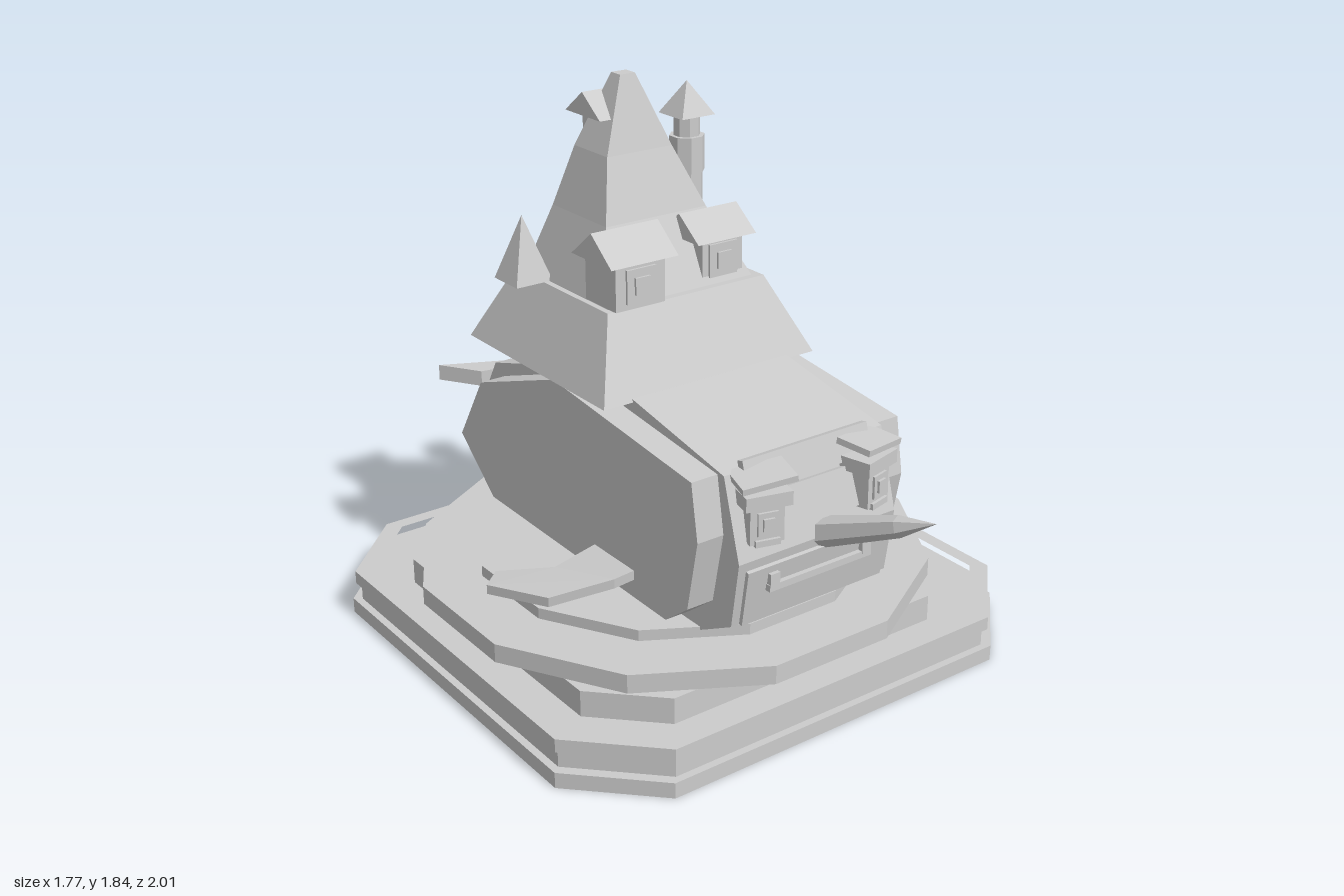
import * as THREE from 'three';

const stone = new THREE.MeshStandardMaterial({ color: 0xcccccc });
stone.name = 'pale grey stone';

// Faceted mesh
function add(parent, name, geometry, x = 0, y = 0, z = 0) {
  const g = geometry.index ? geometry.toNonIndexed() : geometry;
  g.computeVertexNormals();
  const mesh = new THREE.Mesh(g, stone);
  mesh.name = name;
  mesh.position.set(x, y, z);
  parent.add(mesh);
  return mesh;
}
const box = (w, h, d) => new THREE.BoxGeometry(w, h, d);

// Outline in (x, z), raised from y0 to y1, with an optional hole
function plan(points, y0, y1, hole) {
  const flip = ps => ps.map(([x, z]) => new THREE.Vector2(x, -z));
  const shape = new THREE.Shape(flip(points));
  if (hole) shape.holes.push(new THREE.Path(flip(hole)));
  return new THREE.ExtrudeGeometry(shape, { depth: y1 - y0, bevelEnabled: false })
    .rotateX(-Math.PI / 2).translate(0, y0, 0);
}
// Outline in (z, y), spread across x by the given width
function profile(points, width) {
  const shape = new THREE.Shape(points.map(([z, y]) => new THREE.Vector2(z, y)));
  return new THREE.ExtrudeGeometry(shape, { depth: width, bevelEnabled: false })
    .translate(0, 0, -width / 2).rotateY(-Math.PI / 2);
}
const octagon = (h, c) => [[h, h - c], [h - c, h], [c - h, h], [-h, h - c],
  [-h, c - h], [c - h, -h], [h - c, -h], [h, c - h]];
const dodecagon = h => Array.from({ length: 12 }, (_, i) => {
  const a = (i + 0.5) * Math.PI / 6, r = h / Math.cos(Math.PI / 12);
  return [r * Math.cos(a), r * Math.sin(a)];
});
const pyramid = (hw, h) => new THREE.ConeGeometry(hw * Math.SQRT2, h, 4, 1).rotateY(Math.PI / 4).translate(0, h / 2, 0);

// Closed stack of rectangles [y, x0, x1, z0, z1]
function loft(levels) {
  const rings = levels.map(([y, x0, x1, z0, z1]) => [[x0, y, z1], [x1, y, z1], [x1, y, z0], [x0, y, z0]]);
  const pos = [];
  const quad = (a, b, c, d) => [a, b, c, a, c, d].forEach(p => pos.push(...p));
  for (let k = 0; k + 1 < rings.length; k++) {
    for (let i = 0; i < 4; i++) {
      const j = (i + 1) % 4;
      quad(rings[k][i], rings[k][j], rings[k + 1][j], rings[k + 1][i]);
    }
  }
  quad(...[...rings[0]].reverse());
  quad(...rings[rings.length - 1]);
  const g = new THREE.BufferGeometry();
  g.setAttribute('position', new THREE.Float32BufferAttribute(pos, 3));
  return g;
}

// Small gabled house with its ridge along x
function dormer(name, x, y, z, w, h, d, roofW, roofD, roofH) {
  const g = new THREE.Group();
  g.name = name;
  g.position.set(x, y, z);
  add(g, 'dormerWalls', box(w, h, d), 0, h / 2, 0);
  add(g, 'dormerRoof', profile([[roofD / 2, h], [0, h + roofH], [-roofD / 2, h]], roofW));
  return g;
}
function addWindow(g, h, d) {
  add(g, 'windowFrame', box(0.11, 0.11, 0.008), 0, h / 2, d / 2 + 0.004);
  add(g, 'windowPane', box(0.055, 0.055, 0.008), 0, h / 2, d / 2 + 0.012);
}

function buildBase() {
  const g = new THREE.Group();
  g.name = 'pedestal';
  g.position.z = -0.115;
  add(g, 'footSlab', plan(octagon(0.885, 0.25), 0, 0.052));
  add(g, 'middleSlab', plan(octagon(0.86, 0.245), 0.052, 0.112));
  add(g, 'slabRim', plan(octagon(0.875, 0.25), 0.112, 0.157, octagon(0.825, 0.235)));
  add(g, 'neck', plan(octagon(0.712, 0.2), 0.112, 0.2));
  add(g, 'upperDisc', plan(dodecagon(0.83), 0.2, 0.263));
  add(g, 'topDisc', plan(dodecagon(0.64), 0.263, 0.285));
  add(g, 'topRim', plan(dodecagon(0.64), 0.285, 0.3, dodecagon(0.55)));
  return g;
}

function buildBody() {
  const g = new THREE.Group();
  g.name = 'body';
  add(g, 'centreBody', profile([[0.6, 0.37], [0.635, 0.59], [0.56, 0.85], [0.1, 0.935], [-0.25, 0.93],
    [-0.72, 0.79], [-0.885, 0.51], [-0.66, 0.315], [-0.5, 0.29], [0.45, 0.29]], 0.61));
  add(g, 'sideBody', profile([[0.4, 0.335], [0.51, 0.42], [0.56, 0.66], [0.53, 0.845], [-0.2, 0.923],
    [-0.66, 0.76], [-0.81, 0.52], [-0.61, 0.35]], 0.8));

  // Flippers slope down and sweep back
  for (const s of [1, -1]) {
    let pts = [[0.38, 0.02], [0.38, 0.24], [0.46, 0.215], [0.635, 0.11], [0.73, -0.1], [0.67, -0.145], [0.54, 0]];
    pts = pts.map(([x, z]) => [x * s, z]);
    const flipper = plan(pts, 0, 0.032);
    const p = flipper.attributes.position;
    for (let i = 0; i < p.count; i++) {
      const x = Math.abs(p.getX(i));
      p.setY(i, p.getY(i) + (x < 0.64 ? 0.405 - (x - 0.38) * 0.31 : 0.325 - (x - 0.64) * 0.17));
    }
    add(g, s > 0 ? 'leftFlipper' : 'rightFlipper', flipper);
  }

  // Tail stalk and crescent fin
  const stalk = add(g, 'tailStalk', new THREE.CylinderGeometry(0.078, 0.035, 0.29, 8), 0, 0.585, -0.89);
  stalk.rotation.x = -0.28;
  add(g, 'tailFin', plan([[-0.39, -0.97], [-0.3, -0.83], [0, -0.78], [0.3, -0.83], [0.39, -0.97],
    [0.16, -0.86], [-0.16, -0.86]], 0.665, 0.72));
  add(g, 'tailTip', new THREE.ConeGeometry(0.08, 0.03, 8), 0, 0.73, -0.89);
  return g;
}

function buildFace() {
  const g = new THREE.Group();
  g.name = 'face';
  // Muzzle, mouth and brow panels follow the sloping front
  const muzzle = add(g, 'muzzlePlate', box(0.55, 0.19, 0.025), 0, 0.465, 0.616);
  muzzle.rotation.x = 0.157;
  add(g, 'mouthBar', box(0.4, 0.022, 0.025), 0, 0.485, 0.638);
  for (const s of [1, -1]) add(g, 'mouthCorner', box(0.035, 0.045, 0.025), s * 0.18, 0.51, 0.64);
  const brow = add(g, 'browPanel', box(0.48, 0.13, 0.03), 0, 0.71, 0.605);
  brow.rotation.x = -0.28;
  const forehead = add(g, 'foreheadPanel', box(0.48, 0.1, 0.025), 0, 0.83, 0.565);
  forehead.rotation.x = -0.28;

  // Eyes are little lantern houses under tilted brows
  for (const s of [1, -1]) {
    const eye = new THREE.Group();
    eye.name = s > 0 ? 'leftEye' : 'rightEye';
    eye.position.set(s * 0.205, 0.64, 0.61);
    eye.rotation.y = -s * -0.25;
    add(eye, 'eyeBox', box(0.11, 0.13, 0.09), 0, 0.07, 0);
    add(eye, 'eyeLid', box(0.15, 0.045, 0.12), 0, 0.145, 0);
    add(eye, 'eyeSill', box(0.08, 0.02, 0.11), 0, 0.01, 0);
    add(eye, 'pupilFrame', box(0.065, 0.075, 0.008), 0, 0.07, 0.049);
    add(eye, 'pupil', box(0.035, 0.04, 0.008), 0, 0.07, 0.057);
    const lash = add(eye, 'eyebrow', box(0.175, 0.02, 0.12), 0, 0.205, 0.005);
    lash.rotation.set(0.1, 0, -s * 0.1);
    g.add(eye);
  }

  // Long pointed nose
  const from = new THREE.Vector3(0.015, 0.575, 0.57), dir = new THREE.Vector3(0.125, 0.745, 1).sub(from);
  const len = dir.length();
  const nose = add(g, 'nose', new THREE.LatheGeometry([[0, 0], [0.052, 0], [0.034, len * 0.72], [0, len]]
    .map(([r, y]) => new THREE.Vector2(r, y)), 6), ...from.toArray());
  nose.quaternion.setFromUnitVectors(new THREE.Vector3(0, 1, 0), dir.normalize());
  return g;
}

function buildRoof() {
  const g = new THREE.Group();
  g.name = 'roof';
  add(g, 'skirtRoof', loft([[0.925, -0.412, 0.412, -0.692, 0.105], [1.175, -0.305, 0.305, -0.565, -0.025]]));
  add(g, 'mainSpire', loft([[1.175, -0.285, 0.275, -0.535, -0.05], [1.4, -0.215, 0.172, -0.465, -0.16],
    [1.6, -0.162, 0.085, -0.41, -0.225], [1.835, -0.068, -0.012, -0.335, -0.285]]));
  for (const z of [-0.435, -0.58]) add(g, 'eaveBlock', box(0.5, 0.04, 0.09), 0, 0.935, z);
  add(g, 'rightSpirelet', pyramid(0.068, 0.215), -0.34, 1.175, -0.455);
  add(g, 'leftSpirelet', pyramid(0.068, 0.215), 0.34, 1.175, -0.568);

  // Dormers
  const a = dormer('rightDormer', -0.197, 1.18, -0.085, 0.185, 0.15, 0.165, 0.25, 0.22, 0.09);
  addWindow(a, 0.15, 0.165);
  const b = dormer('leftDormer', 0.165, 1.18, -0.14, 0.16, 0.14, 0.155, 0.23, 0.21, 0.08);
  addWindow(b, 0.14, 0.155);
  const c = dormer('backDormer', -0.057, 1.6, -0.36, 0.13, 0.105, 0.12, 0.21, 0.195, 0.075);
  g.add(a, b, c);

  // Chimney tower of stacked drums
  const tower = new THREE.Group();
  tower.name = 'tower';
  tower.position.set(0.248, 0, -0.365);
  [[1.175, 1.32, 0.062], [1.32, 1.46, 0.054], [1.46, 1.58, 0.06], [1.58, 1.66, 0.045]].forEach(([y0, y1, r]) =>
    add(tower, 'towerDrum', new THREE.CylinderGeometry(r, r, y1 - y0, 8).rotateY(Math.PI / 8), 0, (y0 + y1) / 2, 0));
  add(tower, 'towerCap', pyramid(0.066, 0.11), 0, 1.65, 0);
  g.add(tower);
  return g;
}

export function createModel() {
  const model = new THREE.Group();
  model.name = 'creatureHouse';
  model.add(buildBase(), buildBody(), buildFace(), buildRoof());
  return model;
}
